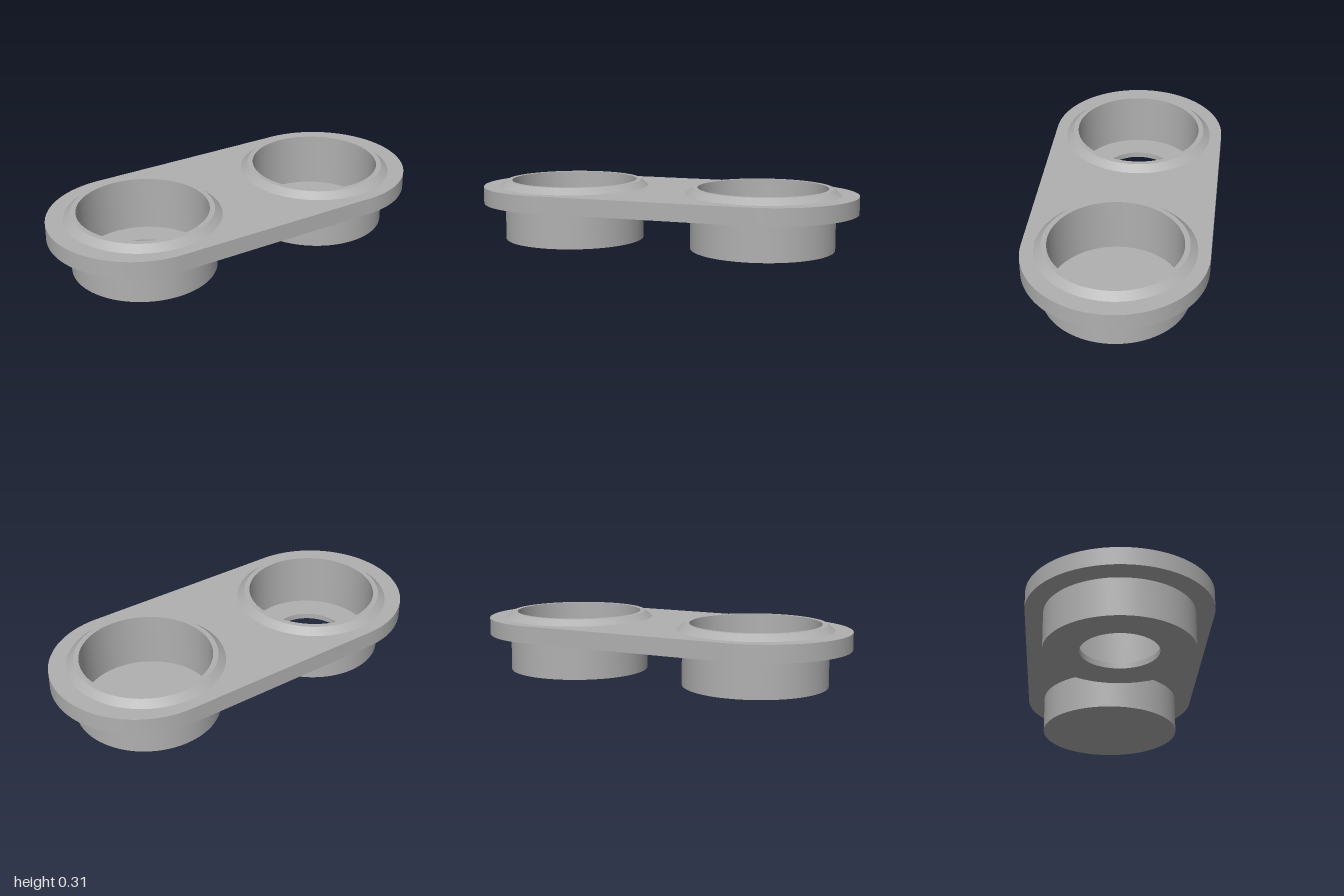
import * as THREE from 'three';
import { toCreasedNormals } from 'three/addons/utils/BufferGeometryUtils.js';

const CUP_X = 0.517;
const CREASE = 0.4;

export function createModel() {
  const group = new THREE.Group();
  const grey = new THREE.MeshStandardMaterial({ color: 0xb0b0b0 });
  grey.name = 'grey';

  const add = (name, geometry, x, y) => {
    const mesh = new THREE.Mesh(toCreasedNormals(geometry, CREASE), grey);
    mesh.name = name;
    mesh.position.set(x, y, 0);
    group.add(mesh);
  };

  // Stadium-shaped plate with an opening for each cup
  const r = 0.455, end = 1 - r;
  const outline = new THREE.Shape();
  outline.absarc(end, 0, r, -Math.PI / 2, Math.PI / 2, false);
  outline.absarc(-end, 0, r, Math.PI / 2, Math.PI * 1.5, false);
  outline.closePath();
  for (const side of [-1, 1]) {
    const opening = new THREE.Path();
    opening.absarc(side * CUP_X, 0, 0.355, 0, Math.PI * 2, true);
    outline.holes.push(opening);
  }
  const plate = new THREE.ExtrudeGeometry(outline, {
    depth: 0.088, bevelEnabled: false, curveSegments: 48,
  });
  plate.rotateX(-Math.PI / 2);
  add('plate', plate, 0, 0.192);

  // Cup with a bevelled rim; a hole radius above zero opens its floor
  const cup = (hole) => {
    const floor = 0.03;
    const profile = [
      [hole, 0], [0.367, 0], [0.367, 0.28], [0.393, 0.28],
      [0.356, 0.312], [0.33, 0.312], [0.33, floor], [hole, floor],
    ];
    if (hole > 0) profile.push([hole, 0]);
    return new THREE.LatheGeometry(profile.map(([x, y]) => new THREE.Vector2(x, y)), 96);
  };
  add('closedCup', cup(0), CUP_X, 0);
  add('openCup', cup(0.192), -CUP_X, 0);

  return group;
}
